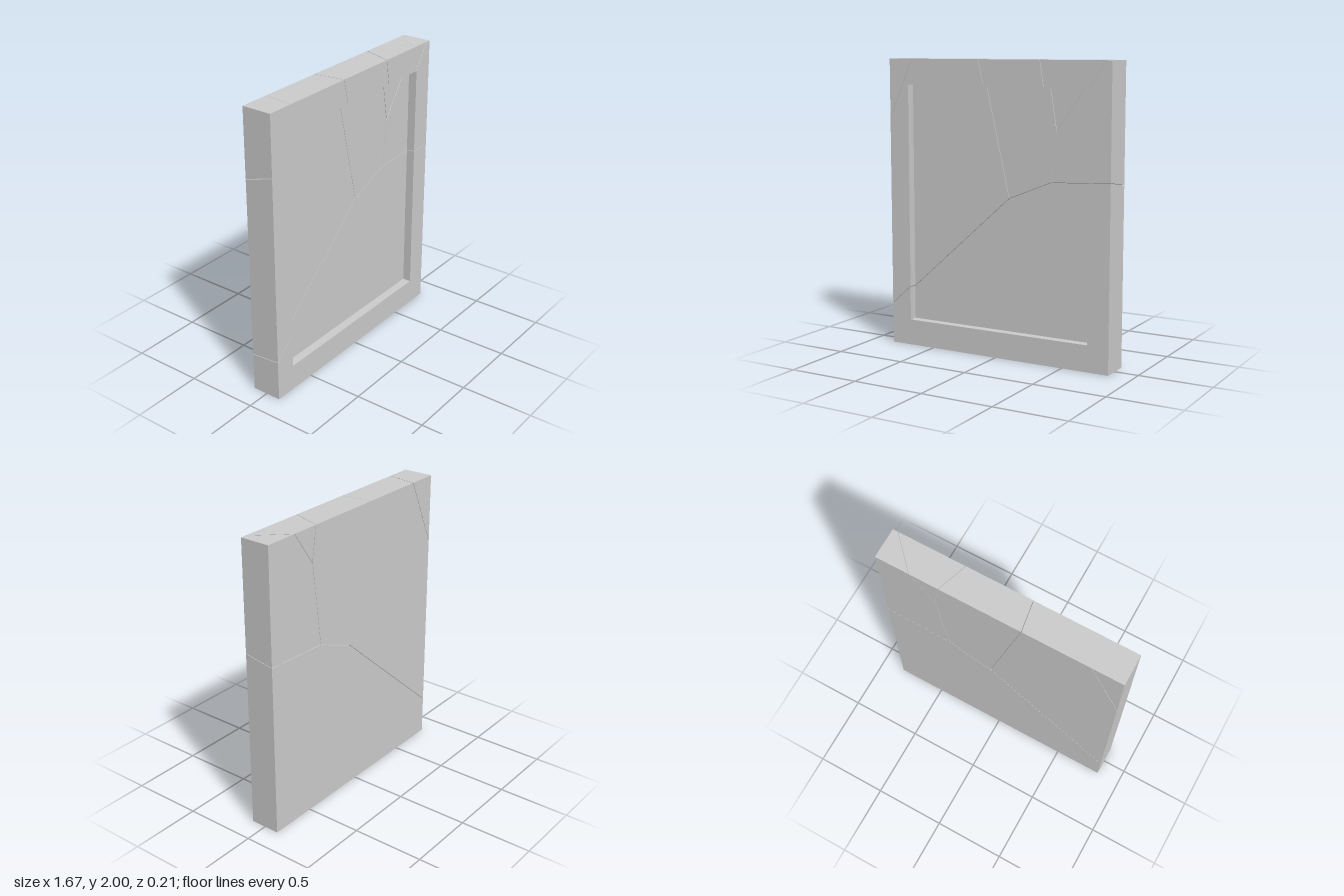
import * as THREE from 'three';

const W = 0.835, H = 2, Z = 0.105;                 // outer half width, height, half depth
const IX = 0.685, Y0 = 0.18, Y1 = 1.825, ZF = 0.045; // recess opening and its floor
const GAP = 0.0015;                                // half the width of a crack

const v = (a) => new THREE.Vector3(...a);

// Solid blocks of the slab: [min, max, face directions left out because they are joined]
const blocks = [
  [[-W, 0, -Z], [W, H, ZF], []],                   // back panel
  [[-W, 0, ZF], [W, Y0, Z], ['-z']],               // bottom rail
  [[-W, Y1, ZF], [W, H, Z], ['-z']],               // top rail
  [[-W, Y0, ZF], [-IX, Y1, Z], ['-z', '-y', '+y']], // side rails
  [[IX, Y0, ZF], [W, Y1, Z], ['-z', '-y', '+y']],
];

// Rough middle of every broken piece
const pieces = {
  bottomPiece: [0.1, 0.5, 0],
  leftPiece: [-0.4, 1.3, 0],
  cornerPiece: [-0.8, 1.95, 0],
  middlePiece: [0.15, 1.6, 0],
  wedgePiece: [0.48, 1.93, 0],
  rightPiece: [0.65, 1.5, 0],
};

// Crack planes: the two pieces they part, then three points on the plane
const cracks = [
  ['bottomPiece', 'leftPiece', [-W, 0.285, Z], [-W, 0.268, -Z], [0.075, 1.085, ZF]],
  ['bottomPiece', 'middlePiece', [0.075, 1.085, ZF], [0.385, 1.21, ZF], [0.052, 1.056, -Z]],
  ['bottomPiece', 'rightPiece', [W, 1.24, Z], [W, 1.205, -Z], [0.385, 1.21, ZF]],
  ['leftPiece', 'middlePiece', [0.075, 1.085, ZF], [-0.128, 2, Z], [-0.16, 2, -Z]],
  ['cornerPiece', 'leftPiece', [-W, 1.59, Z], [-0.652, 2, Z], [-0.623, 2, -Z]],
  ['middlePiece', 'wedgePiece', [0.33, 2, Z], [0.4, 2, -Z], [0.425, 1.54, ZF]],
  ['wedgePiece', 'rightPiece', [0.8, 2, Z], [0.6, 2, -Z], [0.425, 1.54, ZF]],
  ['middlePiece', 'rightPiece', [0.385, 1.21, ZF], [0.425, 1.54, ZF], [0.365, 1.18, -Z]],
];

// Outward planes of a block
function blockPlanes([min, max, skip]) {
  return ['x', 'y', 'z'].flatMap((axis, i) => [-1, 1].map((s) => {
    const normal = new THREE.Vector3().setComponent(i, s);
    const plane = new THREE.Plane(normal, s > 0 ? -max[i] : min[i]);
    return { plane, hidden: skip.includes((s > 0 ? '+' : '-') + axis) };
  }));
}

// Crack planes bounding one piece, facing away from its middle and pulled in by the gap
function crackPlanes(name) {
  return cracks.filter((c) => c[0] === name || c[1] === name).map((c) => {
    const plane = new THREE.Plane().setFromCoplanarPoints(v(c[2]), v(c[3]), v(c[4]));
    if (plane.distanceToPoint(v(pieces[name])) > 0) plane.negate();
    plane.constant += GAP;
    return { plane, hidden: false };
  });
}

// Keeps the part of a convex polygon behind a plane
function clip(poly, plane) {
  const out = [];
  poly.forEach((a, i) => {
    const b = poly[(i + 1) % poly.length];
    const da = plane.distanceToPoint(a), db = plane.distanceToPoint(b);
    if (da <= 0) out.push(a);
    if ((da < 0 && db > 0) || (da > 0 && db < 0)) out.push(a.clone().lerp(b, da / (da - db)));
  });
  return out;
}

// Large square lying on a plane, counter-clockwise about its normal
function sheet({ normal, constant }) {
  const helper = Math.abs(normal.y) < 0.9 ? new THREE.Vector3(0, 1, 0) : new THREE.Vector3(1, 0, 0);
  const u = helper.cross(normal).normalize();
  const w = normal.clone().cross(u);
  return [[-1, -1], [1, -1], [1, 1], [-1, 1]].map(([a, b]) =>
    normal.clone().multiplyScalar(-constant).addScaledVector(u, a * 9).addScaledVector(w, b * 9));
}

// One broken piece: every block cut down to the piece's crack planes
function pieceGeometry(name) {
  const positions = [], normals = [];
  for (const block of blocks) {
    const faces = [...blockPlanes(block), ...crackPlanes(name)];
    for (const face of faces) {
      if (face.hidden) continue;
      let poly = sheet(face.plane);
      for (const other of faces) if (other !== face) poly = clip(poly, other.plane);
      for (let i = 1; i < poly.length - 1; i++) {
        for (const p of [poly[0], poly[i], poly[i + 1]]) {
          positions.push(p.x, p.y, p.z);
          normals.push(...face.plane.normal.toArray());
        }
      }
    }
  }
  const geometry = new THREE.BufferGeometry();
  geometry.setAttribute('position', new THREE.Float32BufferAttribute(positions, 3));
  geometry.setAttribute('normal', new THREE.Float32BufferAttribute(normals, 3));
  return geometry;
}

export function createModel() {
  const group = new THREE.Group();
  group.name = 'brokenFramedPanel';
  const material = new THREE.MeshStandardMaterial({ color: 0xcccccc, flatShading: true });
  for (const name of Object.keys(pieces)) {
    const mesh = new THREE.Mesh(pieceGeometry(name), material);
    mesh.name = name;
    group.add(mesh);
  }
  return group;
}
